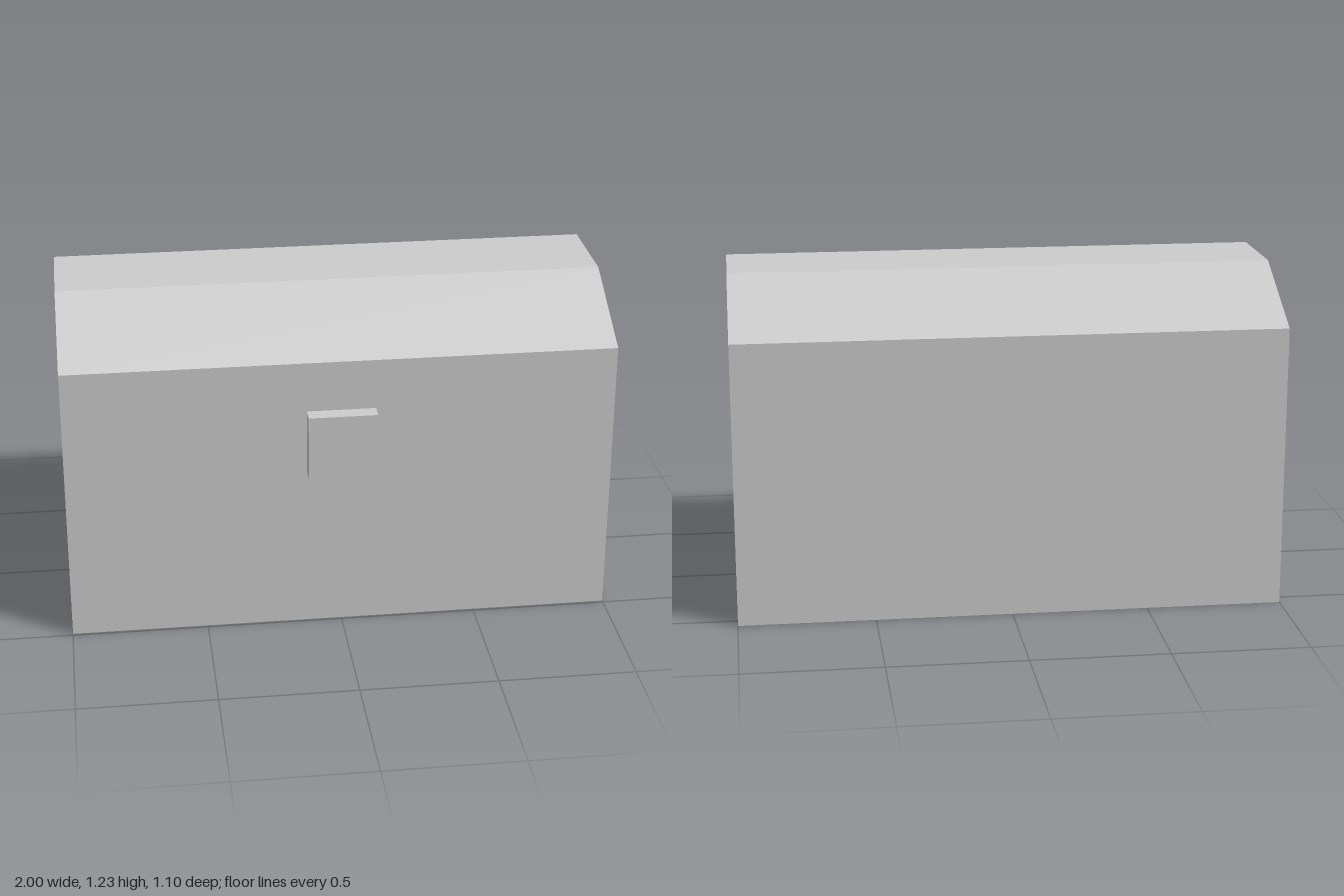
import * as THREE from 'three';

export function createModel() {
  const group = new THREE.Group();
  const material = new THREE.MeshStandardMaterial({ color: 0xcccccc, flatShading: true });

  const length = 2;
  const front = 0.49, back = -0.55;
  const eaves = 1.045, top = 1.225;

  // Chest: closed end profile (z, y) with a three-sided lid, swept along x
  const profile = new THREE.Shape([
    [back, 0], [front, 0], [front, eaves],
    [0.147, top], [-0.204, top], [back, eaves],
  ].map(([z, y]) => new THREE.Vector2(z, y)));
  const chestGeometry = new THREE.ExtrudeGeometry(profile, { depth: length, bevelEnabled: false });
  chestGeometry.translate(0, 0, -length / 2).rotateY(-Math.PI / 2);
  const chest = new THREE.Mesh(chestGeometry, material);
  chest.name = 'chestWithLid';
  group.add(chest);

  // Lock plate standing proud of the front
  const lockDepth = 0.06;
  const lock = new THREE.Mesh(new THREE.BoxGeometry(0.25, 0.243, lockDepth), material);
  lock.name = 'lock';
  lock.position.set(-0.002, 0.736, front + lockDepth / 2);
  group.add(lock);

  return group;
}
